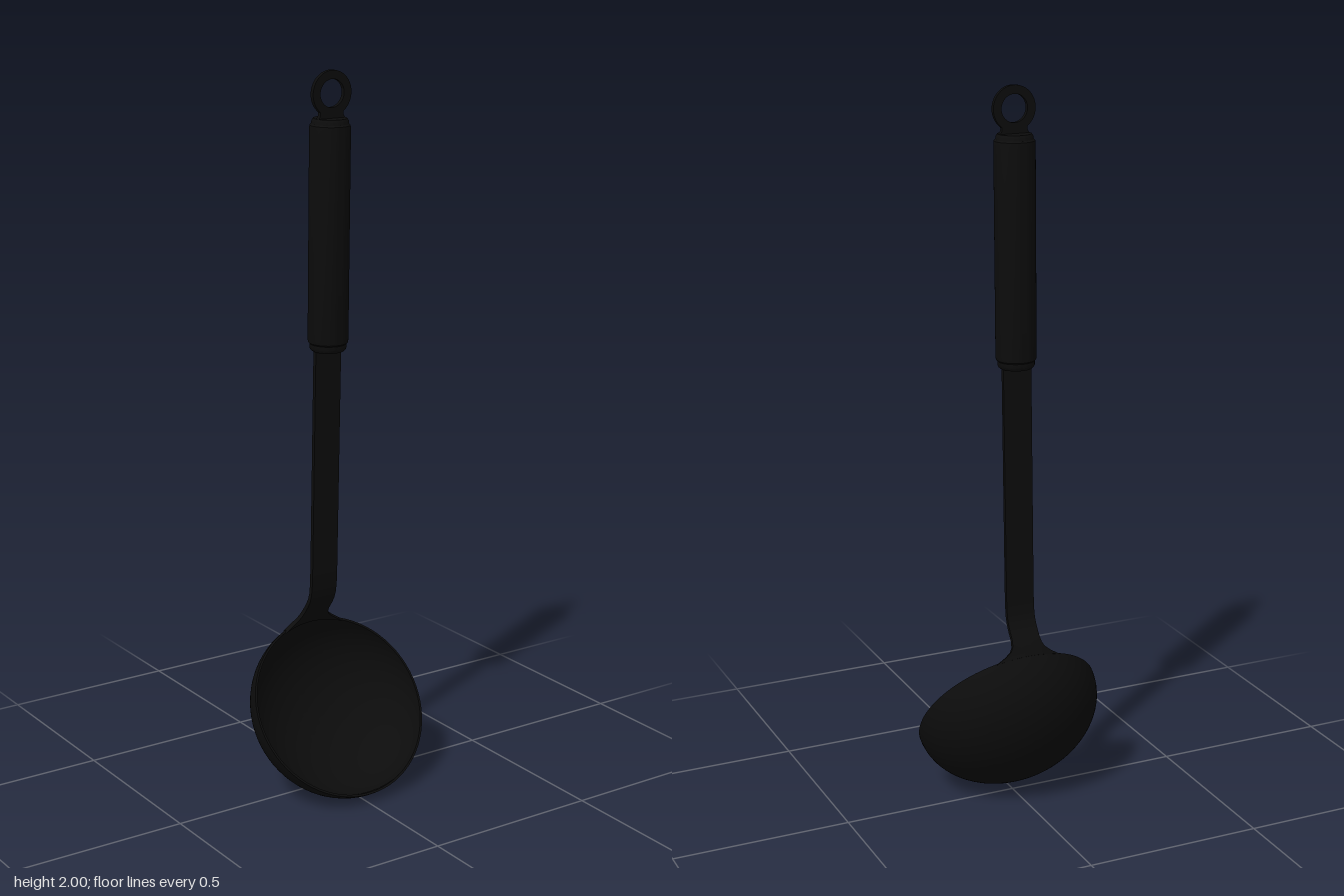
import * as THREE from 'three';
import { toCreasedNormals } from 'three/addons/utils/BufferGeometryUtils.js';

const TILT = 0.958; // bowl opening leans towards the front
const R = 0.26, DEPTH = 0.2, WALL = 0.006;

// Thin half-ellipsoid shell, outer skin then inner skin
function bowlGeometry() {
  const points = [], n = 28;
  for (let i = 0; i <= n; i++) {
    const a = (i / n) * Math.PI / 2;
    points.push(new THREE.Vector2(R * Math.sin(a), -DEPTH * Math.cos(a)));
  }
  for (let i = n; i >= 0; i--) {
    const a = (i / n) * Math.PI / 2;
    points.push(new THREE.Vector2((R - WALL) * Math.sin(a), -(DEPTH - WALL) * Math.cos(a)));
  }
  return toCreasedNormals(new THREE.LatheGeometry(points, 72), 0.7);
}

// Flat strip swept along z/y stations; its foot flares out and follows the rim
function shaftGeometry() {
  // z, y, half width, how far the row follows the rim curve
  const rows = [
    [-0.111, 0.449, 0.095, 1], [-0.105, 0.459, 0.066, 0.8], [-0.1, 0.467, 0.051, 0.5],
    [-0.094, 0.477, 0.044, 0.2], [-0.083, 0.492, 0.041, 0], [-0.068, 0.512, 0.041, 0],
    [-0.057, 0.53, 0.041, 0], [-0.05, 0.55, 0.041, 0], [-0.046, 0.58, 0.041, 0],
    [-0.044, 0.62, 0.041, 0], [-0.027, 1.2, 0.041, 0], [-0.022, 1.32, 0.041, 0],
  ];
  const cols = 12, half = 0.006, ring = 2 * (cols + 1);
  const pos = [], index = [];
  rows.forEach(([z, y, w, follow], i) => {
    const a = rows[Math.max(i - 1, 0)], b = rows[Math.min(i + 1, rows.length - 1)];
    const len = Math.hypot(b[0] - a[0], b[1] - a[1]);
    const nz = (b[1] - a[1]) / len, ny = -(b[0] - a[0]) / len;
    for (let k = 0; k < ring; k++) {
      const front = k <= cols;
      const t = front ? k / cols : (ring - 1 - k) / cols;
      const x = w * (2 * t - 1);
      const drop = follow * (R - Math.sqrt(R * R - x * x));
      const s = front ? half : -half;
      pos.push(x, y - drop * Math.sin(TILT) + ny * s, z + drop * Math.cos(TILT) + nz * s);
    }
  });
  for (let i = 0; i < rows.length - 1; i++) {
    for (let k = 0; k < ring; k++) {
      const a = i * ring + k, b = i * ring + (k + 1) % ring;
      index.push(a, b, b + ring, a, b + ring, a + ring);
    }
  }
  // Close the foot and the hidden top end
  for (let k = 0; k < cols; k++) {
    const a = k, b = k + 1, c = ring - 2 - k, d = ring - 1 - k;
    const o = (rows.length - 1) * ring;
    index.push(a, d, c, a, c, b, o + a, o + b, o + c, o + a, o + c, o + d);
  }
  const geo = new THREE.BufferGeometry();
  geo.setAttribute('position', new THREE.Float32BufferAttribute(pos, 3));
  geo.setIndex(index);
  return toCreasedNormals(geo, 0.7);
}

// Round grip with a stepped collar at the bottom and a rounded cap
function gripGeometry() {
  const profile = [
    [0, 0], [0.043, 0], [0.048, 0.004], [0.05, 0.009], [0.05, 0.02], [0.054, 0.024],
    [0.055, 0.032], [0.055, 0.598], [0.054, 0.607], [0.05, 0.611], [0.049, 0.619],
    [0.045, 0.625], [0, 0.625],
  ].map(([r, y]) => new THREE.Vector2(r, y));
  return toCreasedNormals(new THREE.LatheGeometry(profile, 48), 0.6);
}

// Flat hanging eye with a flared foot
function eyeGeometry() {
  const r = 0.06, gap = 0.65, shape = new THREE.Shape();
  const start = -Math.PI / 2 + gap, end = 1.5 * Math.PI - gap;
  shape.moveTo(-0.043, -0.09);
  shape.lineTo(0.043, -0.09);
  shape.lineTo(0.043, -0.066);
  shape.quadraticCurveTo(0.034, -0.058, r * Math.cos(start), r * Math.sin(start));
  shape.absarc(0, 0, r, start, end, false);
  shape.quadraticCurveTo(-0.034, -0.058, -0.043, -0.066);
  shape.closePath();
  shape.holes.push(new THREE.Path().absarc(0, 0, 0.037, 0, Math.PI * 2, true));
  const geo = new THREE.ExtrudeGeometry(shape, { depth: 0.012, bevelEnabled: false, curveSegments: 40 });
  geo.translate(0, 0, -0.006);
  return toCreasedNormals(geo, 0.6);
}

export function createModel() {
  const model = new THREE.Group();
  model.name = 'ladle';
  const black = new THREE.MeshStandardMaterial({ color: 0x0c0c0c });

  const add = (name, geometry, x, y, z, tilt = 0) => {
    const mesh = new THREE.Mesh(geometry, black);
    mesh.name = name;
    mesh.position.set(x, y, z);
    mesh.rotation.x = tilt;
    model.add(mesh);
    return mesh;
  };

  add('bowl', bowlGeometry(), 0, 0.24, 0.038, TILT).scale.x = 1.012;
  add('shaft', shaftGeometry(), 0, 0, 0);
  add('grip', gripGeometry(), 0, 1.25, -0.023, 0.018);
  add('hangingEye', eyeGeometry(), 0, 1.94, -0.007, 0.025);
  return model;
}
